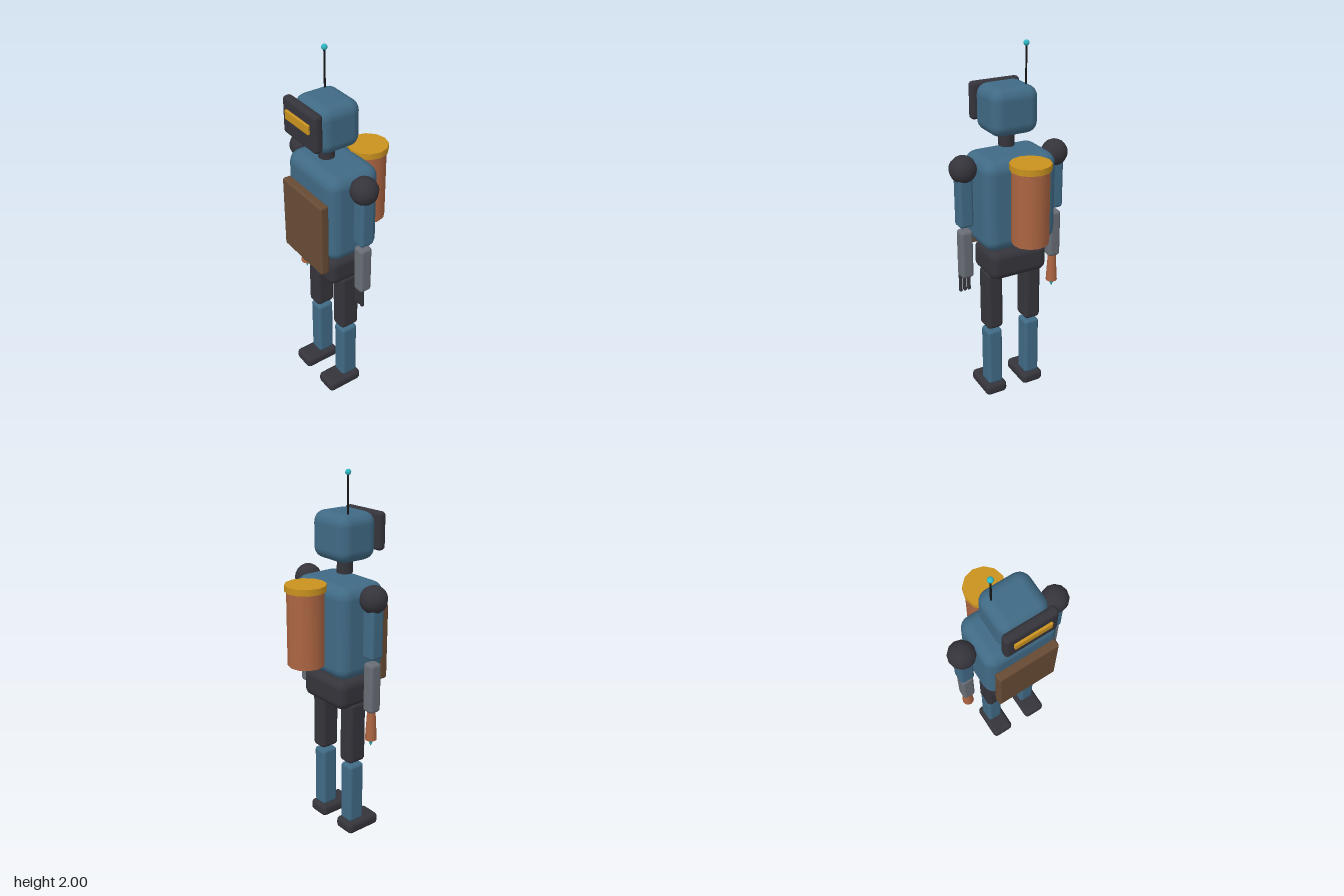
import * as THREE from 'three';
import { RoundedBoxGeometry } from 'three/addons/geometries/RoundedBoxGeometry.js';

const mat = (name, color) => {
  const m = new THREE.MeshStandardMaterial({ color });
  m.name = name;
  return m;
};

export function createModel() {
  const robot = new THREE.Group();
  robot.name = 'robot';

  const blue = mat('blue paint', 0x406a85);
  const dark = mat('dark metal', 0x35343b);
  const brown = mat('brown plate', 0x674b35);
  const gold = mat('gold', 0xc9921f);
  const copper = mat('copper', 0xac6542);
  const grey = mat('grey metal', 0x686d75);
  const cyan = mat('cyan glow', 0x2fb8c4);
  const black = mat('black wire', 0x161618);

  const add = (name, geo, material, x, y, z) => {
    const mesh = new THREE.Mesh(geo, material);
    mesh.name = name;
    mesh.position.set(x, y, z);
    robot.add(mesh);
    return mesh;
  };
  // Rounded box given by its centre x, width, and y and z ranges
  const box = (name, m, x, w, y0, y1, z0, z1, r) =>
    add(name, new RoundedBoxGeometry(w, y1 - y0, z1 - z0, 3, r), m, x, (y0 + y1) / 2, (z0 + z1) / 2);
  // Upright cylinder or cone between two heights
  const rod = (name, m, x, z, y0, y1, rTop, rBottom, sides = 12) =>
    add(name, new THREE.CylinderGeometry(rTop, rBottom, y1 - y0, sides), m, x, (y0 + y1) / 2, z);

  // Head with visor and antenna
  box('head', blue, 0, 0.263, 1.54, 1.785, -0.03, 0.207, 0.06);
  box('visor', dark, 0, 0.28, 1.583, 1.78, 0.2, 0.25, 0.02);
  box('eyeStrip', gold, 0, 0.198, 1.675, 1.724, 0.24, 0.262, 0.005);
  rod('neck', dark, 0, 0.095, 1.465, 1.56, 0.042, 0.042);
  rod('antennaRod', black, -0.084, 0.042, 1.77, 1.985, 0.005, 0.005, 8);
  add('antennaTip', new THREE.SphereGeometry(0.015, 12, 8), cyan, -0.084, 1.985, 0.042);

  // Body
  box('torso', blue, 0, 0.414, 0.952, 1.446, -0.09, 0.207, 0.065);
  box('chestPlate', brown, 0, 0.347, 0.893, 1.306, 0.2, 0.25, 0.012);
  box('pelvis', dark, 0, 0.33, 0.77, 0.932, -0.062, 0.185, 0.045);

  // Back tank
  rod('tank', copper, 0, -0.158, 1.02, 1.42, 0.097, 0.097);
  rod('tankLid', gold, 0, -0.158, 1.415, 1.448, 0.107, 0.107);

  // Arms and legs, mirrored
  for (const [s, side] of [[1, 'left'], [-1, 'right']]) {
    const ax = 0.266 * s, lx = 0.117 * s;
    add(side + 'Shoulder', new THREE.SphereGeometry(0.072, 12, 10), dark, ax, 1.39, 0.06);
    box(side + 'UpperArm', blue, ax, 0.08, 1.08, 1.37, 0.02, 0.1, 0.018);
    box(side + 'Forearm', grey, ax, 0.07, 0.785, 1.057, 0.026, 0.096, 0.018);
    box(side + 'Thigh', dark, lx, 0.096, 0.437, 0.795, 0.004, 0.118, 0.025);
    box(side + 'Shin', blue, lx, 0.088, 0.068, 0.42, 0.012, 0.109, 0.018);
    box(side + 'Foot', dark, lx, 0.13, 0, 0.068, -0.004, 0.207, 0.025);
  }

  // Left hand: three fingers
  for (const i of [-1, 0, 1]) {
    box('finger', dark, 0.266 + i * 0.024, 0.017, 0.69, 0.795, 0.07, 0.087, 0.005);
  }

  // Right hand: torch nozzle with a glowing tip
  rod('torch', copper, -0.266, 0.06, 0.625, 0.79, 0.022, 0.032);
  add('torchTip', new THREE.ConeGeometry(0.017, 0.042, 8), cyan, -0.266, 0.604, 0.06).rotation.x = Math.PI;

  return robot;
}
